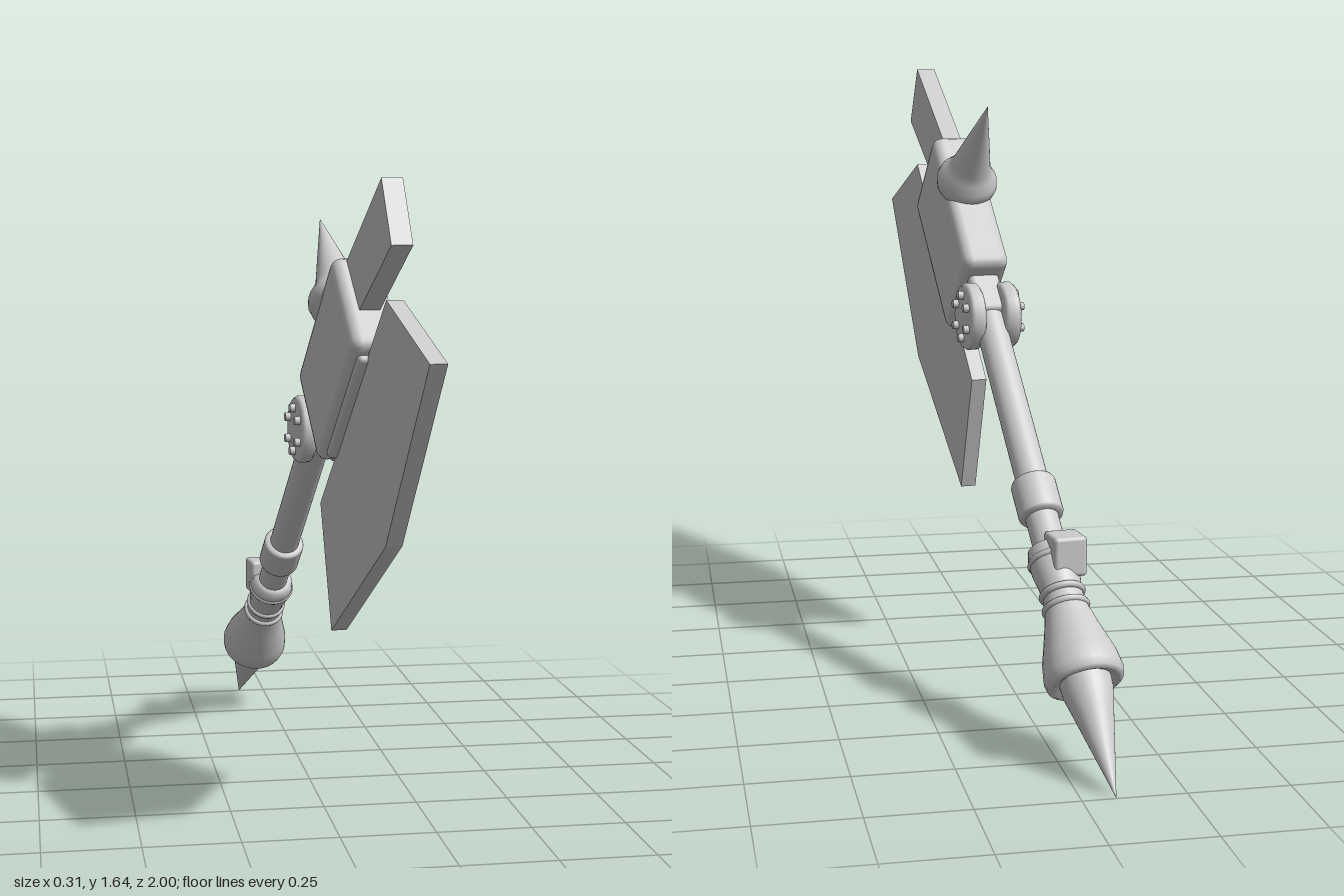
import * as THREE from 'three';
import { RoundedBoxGeometry } from 'three/addons/geometries/RoundedBoxGeometry.js';

const TILT = 0.8;   // lean of the shaft towards the front
const YAW = 0.105;  // slight turn about the vertical

export function createModel() {
  const model = new THREE.Group();
  model.name = 'battleAxe';
  const grey = new THREE.MeshStandardMaterial({ color: 0xcccccc });
  grey.name = 'light grey';

  // Local frame: y runs up the shaft from the pommel tip, +z is the blade side
  const turned = new THREE.Group();
  turned.name = 'turnedAxe';
  turned.position.set(-0.081, 0, -1);
  turned.rotation.y = YAW;
  const axe = new THREE.Group();
  axe.name = 'axe';
  axe.rotation.x = TILT;
  turned.add(axe);
  model.add(turned);

  const add = (name, geometry, x = 0, y = 0, z = 0) => {
    const mesh = new THREE.Mesh(geometry, grey);
    mesh.name = name;
    mesh.position.set(x, y, z);
    axe.add(mesh);
    return mesh;
  };
  const lathe = (points) =>
    new THREE.LatheGeometry(points.map(([r, y]) => new THREE.Vector2(r, y)), 32);
  // Flat plate from [along the shaft, towards the blade] corners
  const plate = (corners, thickness) => {
    const shape = new THREE.Shape(corners.map(([s, t]) => new THREE.Vector2(t, s)));
    const g = new THREE.ExtrudeGeometry(shape, { depth: thickness, bevelEnabled: false });
    return g.translate(0, 0, -thickness / 2).rotateY(-Math.PI / 2);
  };

  // Shaft and its collar
  add('shaft', new THREE.CylinderGeometry(0.042, 0.042, 0.86, 32), 0, 1.0, 0);
  add('collar', lathe([[0.04, 0.762], [0.054, 0.764], [0.058, 0.772],
    [0.058, 0.862], [0.054, 0.87], [0.04, 0.872]]));

  // Pommel: spike, flared bell and grip sleeve
  add('pommelSpike', lathe([[0, 0], [0.05, 0.22], [0.062, 0.27], [0.064, 0.31]]));
  add('pommelBell', lathe([[0.045, 0.31], [0.082, 0.29], [0.094, 0.298], [0.098, 0.318],
    [0.092, 0.36], [0.07, 0.435], [0.054, 0.495], [0.05, 0.53], [0.053, 0.565],
    [0.06, 0.6], [0.063, 0.64], [0.058, 0.668], [0.04, 0.672]]));
  for (const [y, r] of [[0.5, 0.052], [0.54, 0.05], [0.632, 0.058]]) {
    add('gripRing', new THREE.TorusGeometry(r, 0.009, 8, 32).rotateX(Math.PI / 2), 0, y, 0);
  }
  const block = add('gripBlock', new RoundedBoxGeometry(0.085, 0.1, 0.09, 2, 0.01), -0.02, 0.63, -0.042);
  block.rotation.x = -TILT;

  // Joint: neck and two bolted discs
  add('neck', new RoundedBoxGeometry(0.085, 0.16, 0.1, 2, 0.015), 0, 1.48, 0);
  for (const side of [-1, 1]) {
    const disc = lathe([[0, -0.025], [0.08, -0.025], [0.09, -0.017],
      [0.091, 0.008], [0.083, 0.018], [0, 0.02]]);
    add('jointDisc', disc.rotateZ(-side * Math.PI / 2), side * 0.052, 1.417, 0.004);
    for (let i = 0; i < 6; i++) {
      const a = i * Math.PI / 3 + 0.25;
      add('bolt', new THREE.CylinderGeometry(0.011, 0.013, 0.024, 12).rotateZ(-side * Math.PI / 2),
        side * 0.073, 1.417 + 0.058 * Math.cos(a), 0.004 + 0.058 * Math.sin(a));
    }
  }

  // Head block with the blade mount below it
  add('headBlock', new RoundedBoxGeometry(0.128, 0.475, 0.299, 2, 0.028), 0, 1.752, 0.045);
  add('bladeMount', new RoundedBoxGeometry(0.09, 0.4, 0.1, 2, 0.012), 0, 1.752, 0.16);

  // Blade, top bar and rear horn
  add('blade', plate([[2.304, 0.515], [2.158, 0.199], [1.345, 0.199],
    [1.198, 0.51], [1.756, 0.623]], 0.042));
  add('topBar', plate([[2.336, -0.022], [2.287, 0.146], [1.86, 0.054], [1.88, -0.1]], 0.053));
  const horn = lathe([[0, -0.3], [0.03, -0.175], [0.054, -0.073], [0.066, -0.05],
    [0.081, -0.028], [0.085, -0.008], [0.08, 0.015], [0.05, 0.03]]);
  add('rearHorn', horn.rotateX(Math.PI / 2), 0, 1.808, -0.1);

  return model;
}
